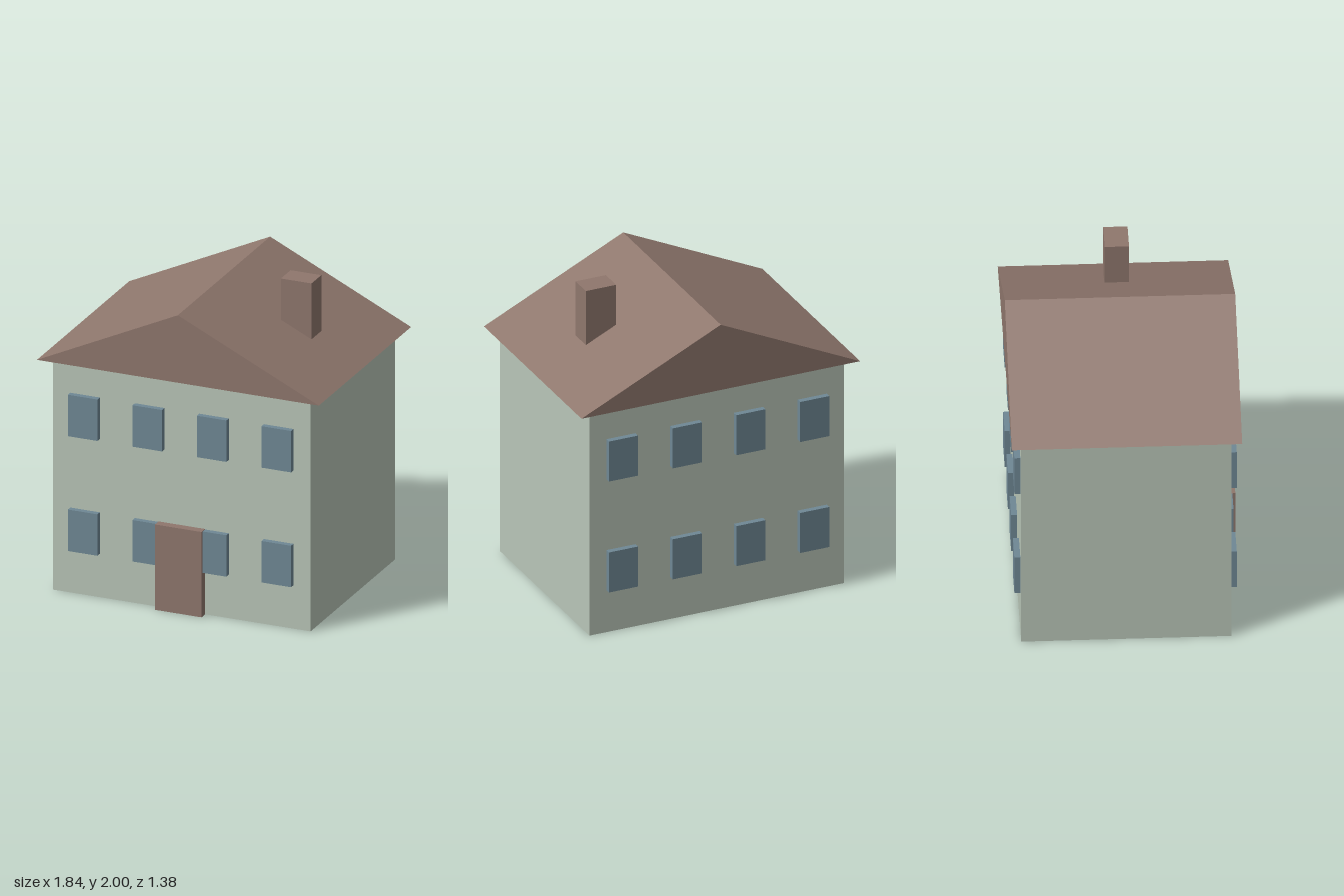
import * as THREE from 'three';

export function createModel() {
  const house = new THREE.Group();
  house.name = 'house';

  const material = (name, color) => {
    const m = new THREE.MeshStandardMaterial({ color });
    m.name = name;
    return m;
  };
  const wallGreen = material('wallGreen', 0xb9c6b8);
  const brown = material('brown', 0x8f776d);
  const windowBlue = material('windowBlue', 0x6f8895);

  const add = (name, geometry, mat) => {
    const mesh = new THREE.Mesh(geometry, mat);
    mesh.name = name;
    house.add(mesh);
    return mesh;
  };
  // Box given by its centre in x and z, and its lowest and highest y
  const box = (name, mat, w, d, x, z, y0, y1) =>
    add(name, new THREE.BoxGeometry(w, y1 - y0, d), mat).position.set(x, (y0 + y1) / 2, z);

  // Walls
  box('walls', wallGreen, 1.68, 1.26, 0, 0, 0, 1.49);

  // Gabled roof, overhanging on every side
  const gable = new THREE.Shape([
    new THREE.Vector2(-0.92, 1.49),
    new THREE.Vector2(0.92, 1.49),
    new THREE.Vector2(0, 1.925),
  ]);
  const roof = new THREE.ExtrudeGeometry(gable, { depth: 1.38, bevelEnabled: false });
  roof.translate(0, 0, -0.69);
  add('roof', roof, brown);

  // Chimney, rising through the left slope
  box('chimney', brown, 0.2, 0.146, 0.503, 0, 1.6, 2);

  // Front door
  box('door', brown, 0.304, 0.06, 0, 0.654, 0, 0.55);

  // Two rows of four windows, front and back
  for (const side of [1, -1])
    for (const y of [0.28, 1.02])
      for (const x of [-0.632, -0.21, 0.21, 0.632])
        box(side > 0 ? 'frontWindow' : 'backWindow', windowBlue, 0.193, 0.04, x, side * 0.646, y, y + 0.267);

  return house;
}
